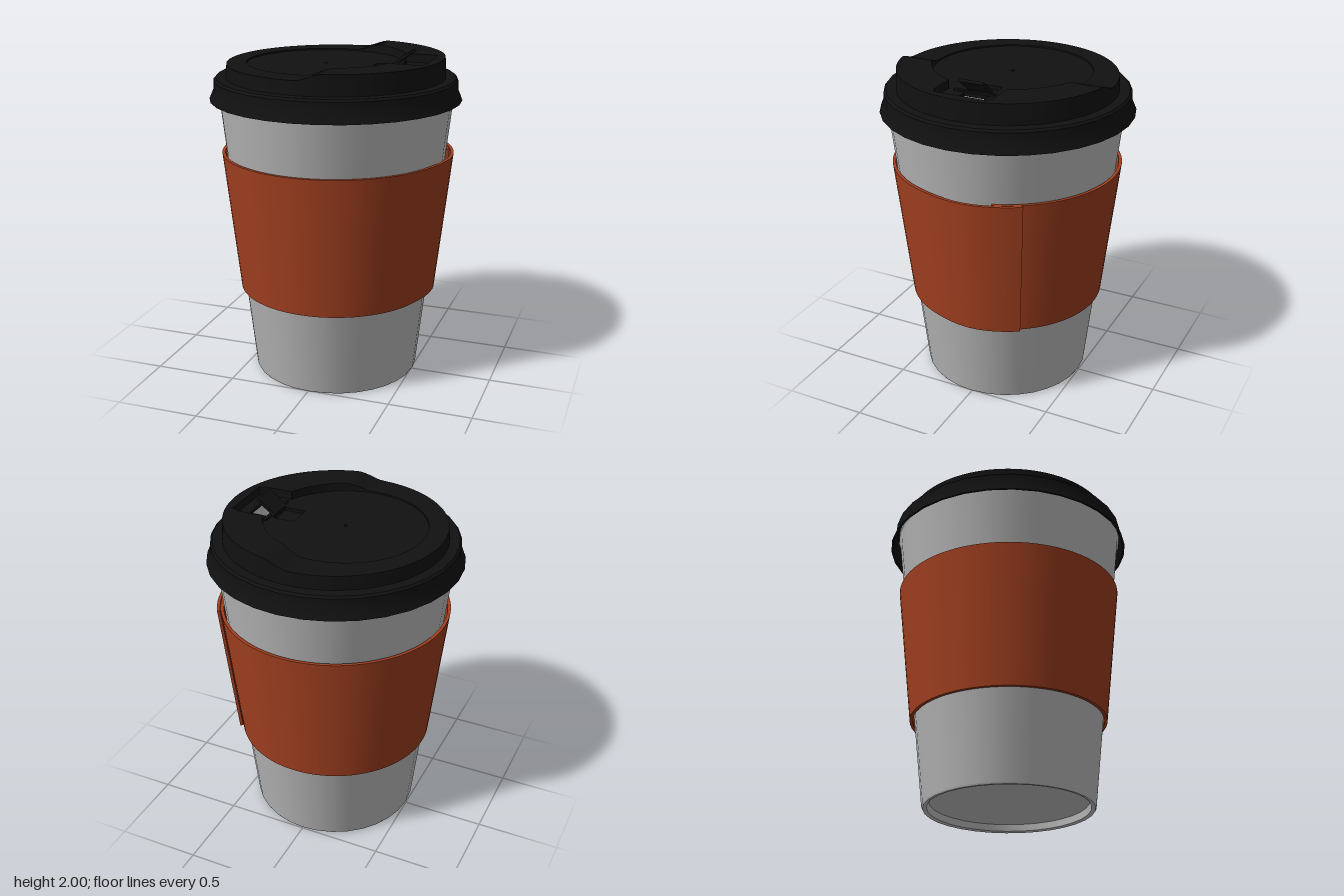
import * as THREE from 'three';
import { toCreasedNormals } from 'three/addons/utils/BufferGeometryUtils.js';

const paper = new THREE.MeshStandardMaterial({ color: 0xcccccc });
const cork = new THREE.MeshStandardMaterial({ color: 0xa34020 });
const black = new THREE.MeshStandardMaterial({ color: 0x111111, side: THREE.DoubleSide });

const v2 = (list) => list.map(([x, y]) => new THREE.Vector2(x, y));
const cupRadius = (y) => 0.502 + 0.112 * y;
const FLOOR = 1.9;

function add(group, name, geometry, material, x = 0, y = 0, z = 0) {
  const mesh = new THREE.Mesh(geometry, material);
  mesh.name = name;
  mesh.position.set(x, y, z);
  group.add(mesh);
  return mesh;
}

const turned = (profile) => toCreasedNormals(new THREE.LatheGeometry(v2(profile), 32), 0.5);

// Skins rows of points; each row is one cross-section, swept from +x towards +z
function skin(rows, capped = false) {
  const n = rows[0].length;
  const index = [];
  for (let i = 0; i < rows.length - 1; i++) {
    for (let j = 0; j < n - 1; j++) {
      const a = i * n + j;
      const b = a + n;
      index.push(a, a + 1, b, b, a + 1, b + 1);
    }
  }
  if (capped) {
    const e = (rows.length - 1) * n;
    index.push(0, 2, 1, 0, 3, 2, e, e + 1, e + 2, e, e + 2, e + 3);
  }
  const geometry = new THREE.BufferGeometry();
  geometry.setAttribute('position', new THREE.Float32BufferAttribute(rows.flat(2), 3));
  geometry.setIndex(index);
  return toCreasedNormals(geometry, 0.5);
}

// Wrap-around sleeve whose outer end overlaps the inner end
function sleeveGeometry() {
  const rows = [];
  const start = -0.58;
  const span = Math.PI * 2 + 0.25;
  const y0 = 0.53, y1 = 1.38;
  for (let i = 0; i <= 80; i++) {
    const t = (span * i) / 80;
    const lift = 0.022 * (1 - THREE.MathUtils.smoothstep(t, 0.4, 0.95));
    const corner = (y, offset) => {
      const r = cupRadius(y) + offset + lift;
      return [r * Math.cos(start + t), y, r * Math.sin(start + t)];
    };
    rows.push([corner(y0, 0.027), corner(y1, 0.027), corner(y1, 0.008), corner(y0, 0.008), corner(y0, 0.027)]);
  }
  return skin(rows, true);
}

// Outline of the sunken area: a disc joined to a drinking channel
function recessPoint(a) {
  const channel = Math.cos(a) > 0
    ? Math.min(0.64 / Math.cos(a), 0.18 / Math.max(Math.abs(Math.sin(a)), 1e-4))
    : 0;
  const r = Math.max(0.47, channel);
  return [-0.06 + r * Math.cos(a), r * Math.sin(a)];
}

// Raised lid border, ramping up to the drinking side
function borderGeometry() {
  const rows = [];
  const height = (x) => 1.91 + 0.04 * THREE.MathUtils.smoothstep(x, -0.02, 0.14);
  for (let i = 0; i <= 128; i++) {
    const a = (i / 128) * Math.PI * 2;
    const [ix, iz] = recessPoint(a);
    const ox = 0.642 * Math.cos(a), oz = 0.642 * Math.sin(a);
    const row = [[ox * 1.01, 1.825, oz * 1.01]];
    for (let k = 0; k <= 6; k++) {
      const x = THREE.MathUtils.lerp(ox, ix, k / 6);
      row.push([x, height(x), THREE.MathUtils.lerp(oz, iz, k / 6)]);
    }
    row.push([ix, FLOOR - 0.02, iz]);
    rows.push(row);
  }
  return skin(rows);
}

// Sunken floor with drinking hole, flap pocket and vent
function floorGeometry() {
  const outline = [];
  for (let i = 0; i < 128; i++) outline.push(recessPoint((i / 128) * Math.PI * 2));
  const shape = new THREE.Shape(v2(outline));
  const rectangle = (x0, x1) =>
    new THREE.Path(v2([[x0, -0.07], [x0, 0.08], [x1, 0.08], [x1, -0.07]]));
  const vent = new THREE.Path().absarc(-0.06, 0, 0.01, 0, Math.PI * 2, true);
  shape.holes.push(rectangle(0.4, 0.515), rectangle(0.23, 0.36), vent);
  return new THREE.ExtrudeGeometry(shape, { depth: 0.02, bevelEnabled: false, curveSegments: 6 })
    .rotateX(-Math.PI / 2);
}

export function createModel() {
  const model = new THREE.Group();
  model.name = 'takeawayCup';

  // Hollow cup with a sunken base and rolled lip
  add(model, 'cup', turned([
    [0, 0.045], [0.465, 0.045], [0.475, 0.006], [0.485, 0], [0.498, 0], [0.505, 0.012],
    [cupRadius(1.74), 1.74], [0.708, 1.76], [0.705, 1.785], [0.685, 1.785], [0.68, 1.76],
    [0.49, 0.065], [0, 0.065],
  ]), paper, 0.005, 0, 0.005);

  add(model, 'sleeve', sleeveGeometry(), cork, 0.003, 0, 0.003);

  // Lid
  const lid = new THREE.Group();
  lid.name = 'lid';
  model.add(lid);
  add(lid, 'lidRim', turned([
    [0.63, 1.81], [0.71, 1.81], [0.712, 1.765], [0.735, 1.7], [0.748, 1.7],
    [0.722, 1.76], [0.72, 1.817], [0.708, 1.83], [0.64, 1.83],
  ]), black);
  add(lid, 'lidBorder', borderGeometry(), black);
  add(lid, 'lidFloor', floorGeometry(), black, 0, FLOOR - 0.02, 0);

  // Drinking flap, its hinge and the pocket it folds into
  add(lid, 'flapPocket', new THREE.BoxGeometry(0.15, 0.01, 0.17), black, 0.295, FLOOR - 0.025, -0.005);
  add(lid, 'flapHinge', new THREE.BoxGeometry(0.02, 0.012, 0.28), black, 0.385, FLOOR + 0.004, 0);
  const flap = add(lid, 'flap', new THREE.BoxGeometry(0.136, 0.017, 0.15), black, 0.408, 1.952, -0.005);
  flap.rotation.z = 0.64;

  return model;
}
